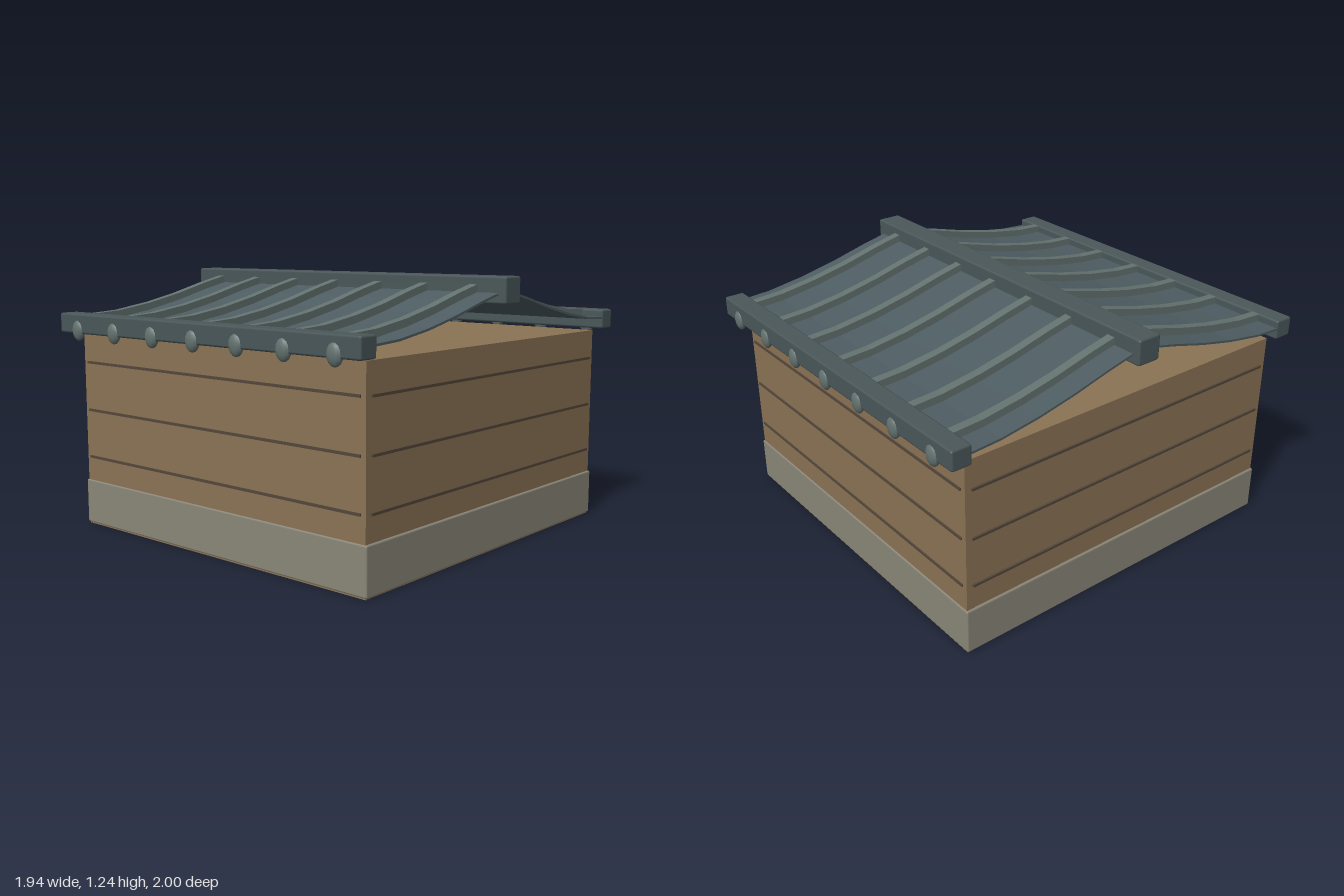
import * as THREE from 'three';
import { RoundedBoxGeometry } from 'three/addons/geometries/RoundedBoxGeometry.js';

const paint = (color) => new THREE.MeshStandardMaterial({ color });
const wood = paint(0x8b7355), groove = paint(0x54473a), stone = paint(0x8a8678);
const tile = paint(0x4e5d62), rib = paint(0x63726f), beam = paint(0x4a5759);

// Roof slope as [z, y], from ridge to eave
const slope = [[0, 1.178], [0.06, 1.162], [0.19, 1.132], [0.375, 1.083], [0.56, 1.043], [0.75, 1.014], [0.94, 1.003]];

function add(parent, name, geometry, material, x = 0, y = 0, z = 0) {
  const mesh = new THREE.Mesh(geometry, material);
  mesh.name = name;
  mesh.position.set(x, y, z);
  parent.add(mesh);
  return mesh;
}

// Strip following the slope, extruded across x
function slopeStrip(width, lift, thickness) {
  const lower = slope.map(([z, y]) => new THREE.Vector2(z, y + lift));
  const upper = slope.map(([z, y]) => new THREE.Vector2(z, y + lift + thickness)).reverse();
  const geometry = new THREE.ExtrudeGeometry(new THREE.Shape([...lower, ...upper]), { depth: width, bevelEnabled: false });
  geometry.translate(0, 0, -width / 2);
  geometry.rotateY(-Math.PI / 2);
  return geometry;
}

export function createModel() {
  const model = new THREE.Group();
  model.name = 'house';

  // Walls and stone foundation
  add(model, 'walls', new THREE.BoxGeometry(1.77, 0.94, 1.78), wood, 0, 0.47, 0);
  add(model, 'foundation', new RoundedBoxGeometry(1.79, 0.215, 1.794, 1, 0.008), stone, 0, 0.1135, 0);
  add(model, 'floor', new THREE.BoxGeometry(1.77, 0.006, 1.77), groove, 0, 0.003, 0);

  // Plank seams on all four walls
  for (const y of [0.338, 0.57, 0.803]) {
    for (const s of [-1, 1]) {
      add(model, 'plankSeam', new THREE.BoxGeometry(1.72, 0.012, 0.02), groove, 0, y, s * 0.886);
      add(model, 'sidePlankSeam', new THREE.BoxGeometry(0.02, 0.012, 1.72), groove, s * 0.884, y, 0);
    }
  }

  // Two mirrored roof halves with ribs, eave beams and round rib ends
  const sheet = slopeStrip(1.87, -0.008, 0.01);
  const ribStrip = slopeStrip(0.042, 0, 0.036);
  const knob = new THREE.SphereGeometry(1, 12, 8);
  knob.scale(0.04, 0.05, 0.022);
  for (const turn of [0, Math.PI]) {
    const half = new THREE.Group();
    half.name = turn ? 'backRoof' : 'frontRoof';
    half.rotation.y = turn;
    model.add(half);
    add(half, 'roofSheet', sheet, tile);
    add(half, 'eaveBeam', new RoundedBoxGeometry(1.876, 0.094, 0.097, 1, 0.01), beam, 0, 0.997, 0.938);
    for (let i = -3; i <= 3; i++) {
      add(half, 'roofRib', ribStrip, rib, i * 0.268);
      add(half, 'ribEnd', knob, rib, i * 0.268, 0.966, 0.978);
    }
  }

  // Ridge beam
  add(model, 'ridgeBeam', new RoundedBoxGeometry(1.944, 0.12, 0.12, 1, 0.01), beam, 0, 1.175, 0);
  return model;
}
